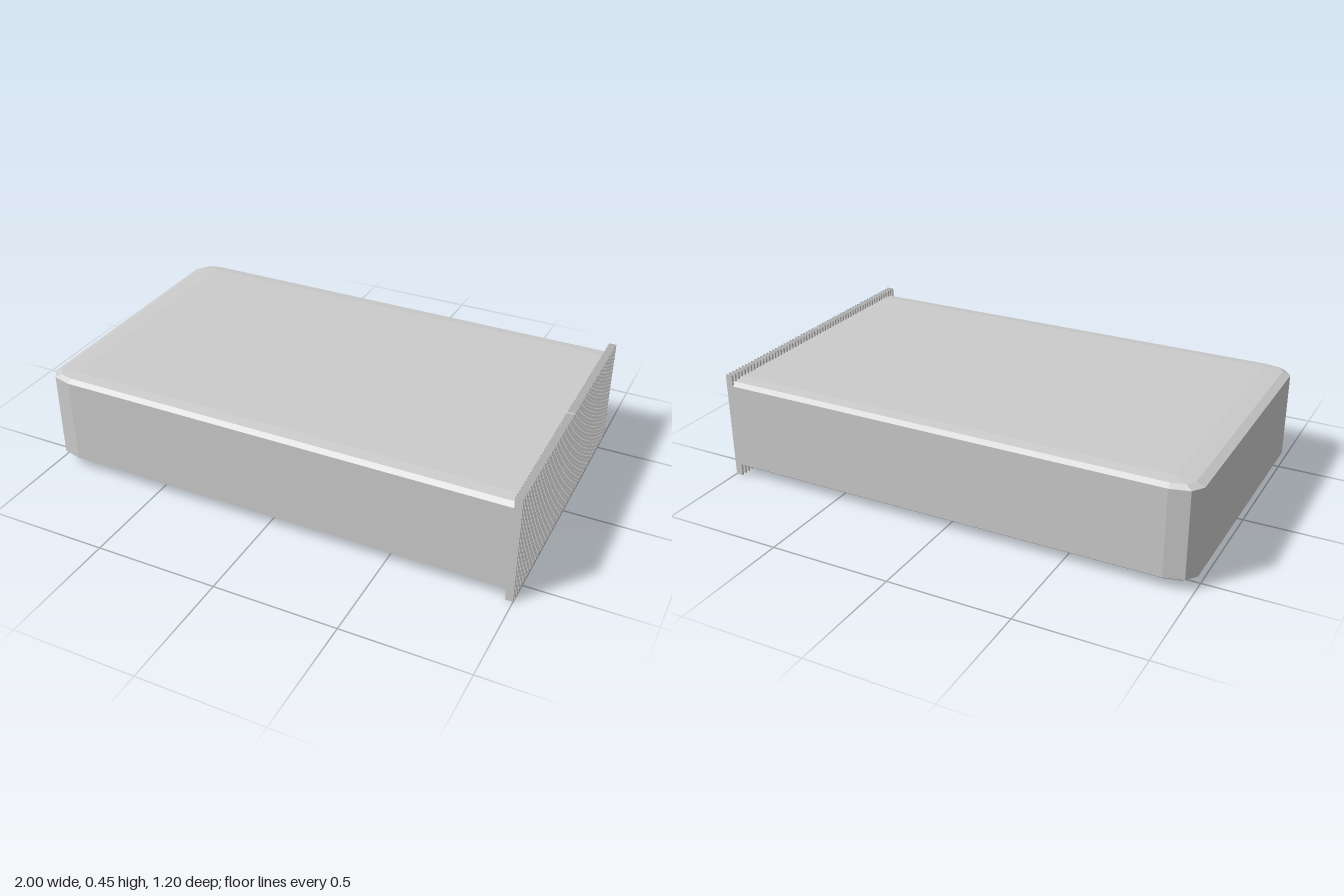
import * as THREE from 'three';

const material = new THREE.MeshStandardMaterial({ color: 0xcccccc, side: THREE.DoubleSide, flatShading: true });

// Hollow shell, open at +x, with bevelled long edges and rounded corners at -x.
function shellGeometry() {
  const openX = 0.98, cornerX = -0.89, cornerZ = 0.535;
  const rx = 0.11, ry = 0.02, rz = 0.065;
  const steps = [0, Math.PI / 4, Math.PI / 2];

  // One horizontal outline; k scales the corner radius, width = 0 folds it onto the centre line.
  const outline = (y, k, width = 1) => {
    const half = [[openX, cornerZ + rz * k]];
    for (const a of steps) half.push([cornerX - rx * k * Math.sin(a), cornerZ + rz * k * Math.cos(a)]);
    const other = half.slice().reverse().map(([x, z]) => [x, -z]);
    return [...half, ...other].map(([x, z]) => [x, y, z * width]);
  };

  const low = 0.05, high = 0.405;
  const rings = [outline(low - ry, 0, 0)];
  for (const e of [...steps].reverse()) rings.push(outline(low - ry * Math.sin(e), Math.cos(e)));
  for (const e of steps) rings.push(outline(high + ry * Math.sin(e), Math.cos(e)));
  rings.push(outline(high + ry, 0, 0));

  const n = rings[0].length;
  const index = [];
  for (let j = 0; j < rings.length - 1; j++) {
    for (let i = 0; i < n - 1; i++) {
      const a = j * n + i, b = a + 1, c = a + n, d = c + 1;
      index.push(a, c, b, b, c, d);
    }
  }
  const g = new THREE.BufferGeometry();
  g.setAttribute('position', new THREE.Float32BufferAttribute(rings.flat(2), 3));
  g.setIndex(index);
  const flat = g.toNonIndexed();
  flat.computeVertexNormals();
  return flat;
}

// Thin upright slat with open top and bottom.
function slatGeometry(depth, height, thickness) {
  const g = new THREE.BoxGeometry(depth, height, thickness);
  const idx = Array.from(g.index.array);
  g.setIndex([...idx.slice(0, 12), ...idx.slice(24)]);
  g.clearGroups();
  return g;
}

export function createModel() {
  const model = new THREE.Group();
  model.name = 'slattedCase';

  const shell = new THREE.Mesh(shellGeometry(), material);
  shell.name = 'shell';
  model.add(shell);

  // Row of slats across the open end
  const slats = new THREE.Group();
  slats.name = 'slats';
  const count = 61, thickness = 0.008, reach = 0.6 - thickness / 2;
  const open = slatGeometry(0.03, 0.45, thickness);
  const capped = new THREE.BoxGeometry(0.03, 0.45, thickness);
  for (let i = 0; i < count; i++) {
    const middle = i === (count - 1) / 2;
    const slat = new THREE.Mesh(middle ? capped : open, material);
    slat.name = middle ? 'middleSlat' : 'slat';
    slat.position.set(0.985, 0.225, -reach + (2 * reach * i) / (count - 1));
    slats.add(slat);
  }
  model.add(slats);

  return model;
}
